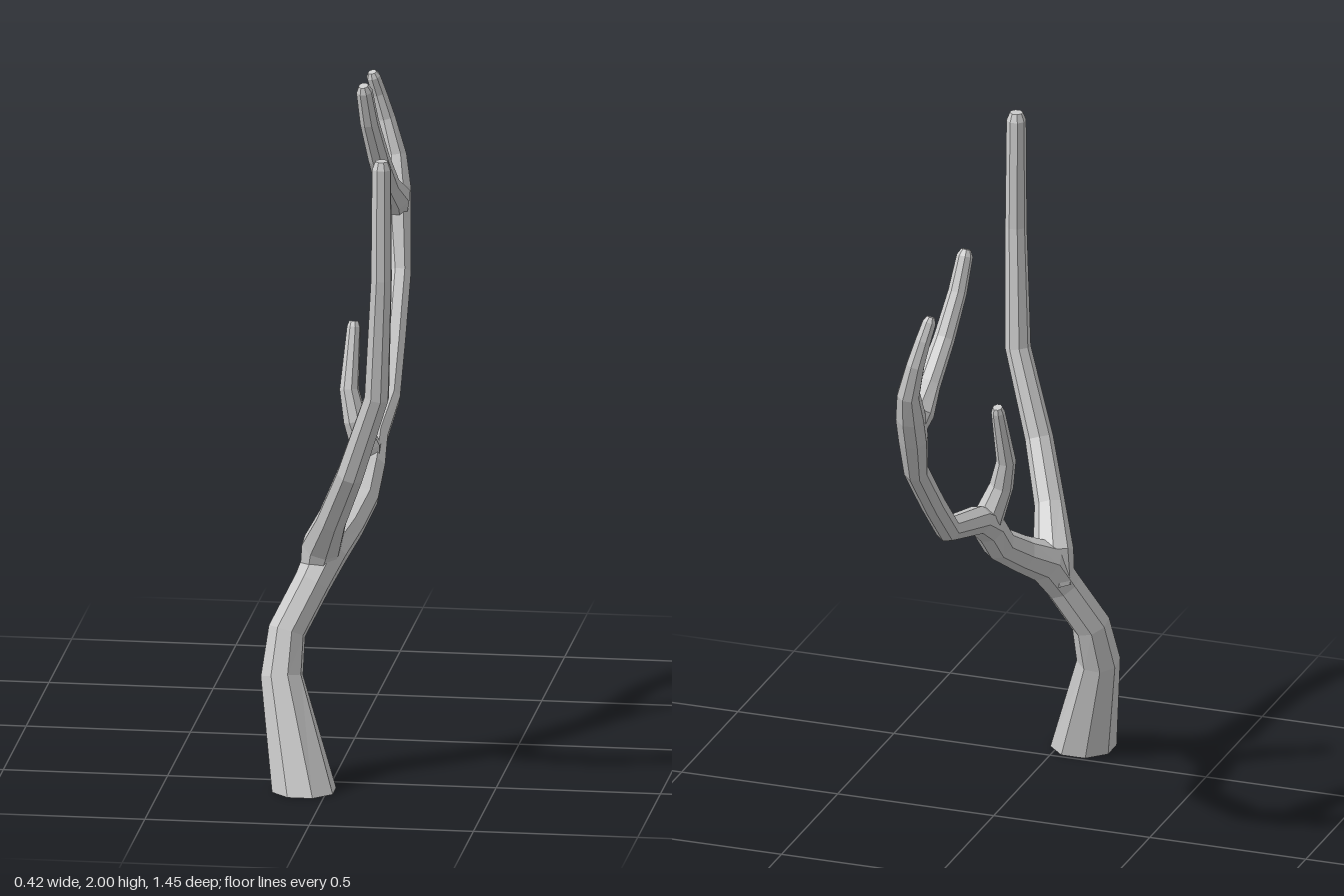
import * as THREE from 'three';

const SIDES = 8;
const material = new THREE.MeshStandardMaterial({ color: 0xcccccc, flatShading: true });

// Tapered limb through points [x, y, z, radius], with closed ends.
// startDir optionally fixes the plane of the first ring.
function limb(name, points, startDir) {
  const centres = points.map(p => new THREE.Vector3(p[0], p[1], p[2]));
  const last = points.length - 1;
  const positions = [], index = [];
  const side = new THREE.Vector3(1, 0, 0);
  const dirTo = (a, b) => centres[b].clone().sub(centres[a]).normalize();

  centres.forEach((c, i) => {
    const t = new THREE.Vector3();
    if (i > 0) t.add(dirTo(i - 1, i));
    if (i < last) t.add(dirTo(i, i + 1));
    if (i === 0 && startDir) t.copy(startDir);
    t.normalize();
    // carry the same side direction along so the facets do not twist
    side.addScaledVector(t, -side.dot(t)).normalize();
    const up = new THREE.Vector3().crossVectors(t, side);
    for (let j = 0; j < SIDES; j++) {
      const a = ((j + 0.5) / SIDES) * Math.PI * 2;
      const v = c.clone()
        .addScaledVector(side, Math.cos(a) * points[i][3])
        .addScaledVector(up, Math.sin(a) * points[i][3]);
      positions.push(v.x, v.y, v.z);
    }
  });

  for (let i = 0; i < last; i++) {
    for (let j = 0; j < SIDES; j++) {
      const k = (j + 1) % SIDES;
      const a = i * SIDES + j, b = i * SIDES + k;
      index.push(a, b, b + SIDES, a, b + SIDES, a + SIDES);
    }
  }
  // end caps
  const top = last * SIDES;
  for (let j = 1; j < SIDES - 1; j++) {
    index.push(0, j + 1, j);
    index.push(top, top + j, top + j + 1);
  }

  const geometry = new THREE.BufferGeometry();
  geometry.setAttribute('position', new THREE.Float32BufferAttribute(positions, 3));
  geometry.setIndex(index);
  geometry.computeVertexNormals();
  const mesh = new THREE.Mesh(geometry, material);
  mesh.name = name;
  return mesh;
}

export function createModel() {
  const group = new THREE.Group();
  group.name = 'branch';

  // Trunk with a flared foot, running on into the long back limb
  group.add(limb('trunkAndBackLimb', [
    [-0.07, 0, 0.605, 0.1],
    [-0.15, 0.33, 0.515, 0.066],
    [-0.14, 0.46, 0.475, 0.059],
    [-0.07, 0.6, 0.42, 0.058],
    [-0.03, 0.69, 0.37, 0.066],
    [0.015, 0.745, 0.28, 0.056],
    [0.05, 0.81, 0.185, 0.052],
    [0.06, 0.89, 0.12, 0.052],
    [0.06, 0.95, 0.02, 0.045],
    [0.072, 1.01, -0.21, 0.039],
    [0.07, 1.15, -0.35, 0.038],
    [0.065, 1.32, -0.51, 0.038],
    [0.047, 1.46, -0.585, 0.046],
    [0.04, 1.55, -0.63, 0.046],
    [0.03, 1.64, -0.675, 0.036],
    [0.0, 1.75, -0.695, 0.029],
    [-0.022, 1.83, -0.688, 0.025],
    [-0.036, 1.885, -0.672, 0.022],
    [-0.039, 1.9, -0.667, 0.013],
  ], new THREE.Vector3(0, 1, 0)));

  // Tall front limb
  group.add(limb('frontLimb', [
    [-0.07, 0.61, 0.39, 0.045],
    [-0.045, 0.71, 0.405, 0.062],
    [0.0, 0.82, 0.5, 0.047],
    [0.07, 0.99, 0.598, 0.043],
    [0.158, 1.25, 0.655, 0.039],
    [0.177, 1.63, 0.69, 0.033],
    [0.178, 1.975, 0.695, 0.03],
    [0.178, 2.0, 0.695, 0.02],
  ]));

  // Short twig in the middle of the back limb
  group.add(limb('middleTwig', [
    [0.06, 0.87, 0.12, 0.035],
    [0.05, 0.94, 0.105, 0.047],
    [0.018, 1.03, 0.12, 0.037],
    [-0.002, 1.12, 0.105, 0.03],
    [0.004, 1.3, 0.05, 0.021],
    [0.004, 1.317, 0.045, 0.015],
  ]));

  // Forward prong of the upper fork
  group.add(limb('forwardProng', [
    [0.045, 1.48, -0.6, 0.035],
    [0.04, 1.54, -0.57, 0.053],
    [0.032, 1.6, -0.49, 0.037],
    [0.02, 1.71, -0.385, 0.033],
    [0.0, 1.84, -0.322, 0.029],
    [-0.01, 1.945, -0.285, 0.025],
    [-0.012, 1.964, -0.278, 0.015],
  ]));

  return group;
}
